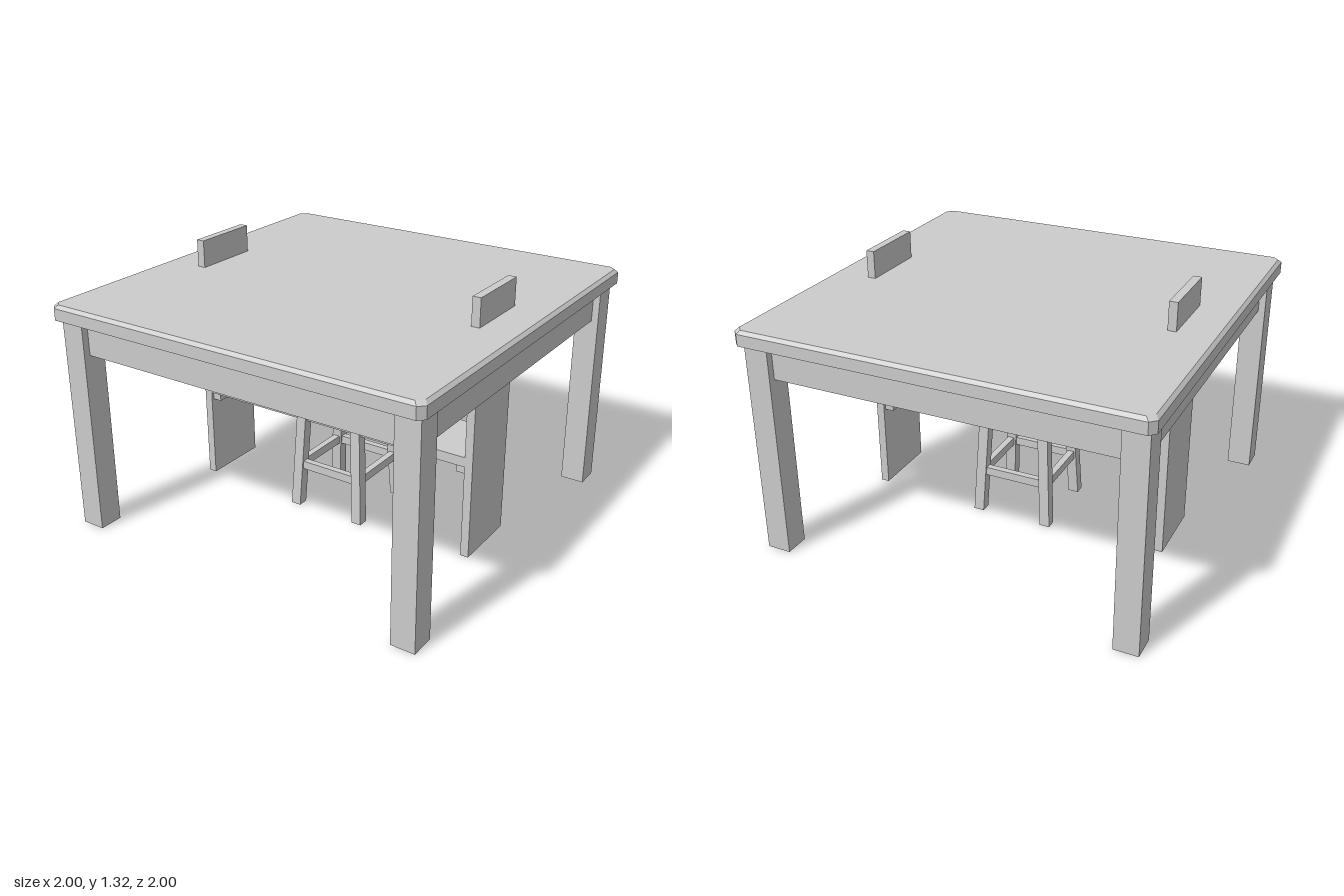
import * as THREE from 'three';

const material = new THREE.MeshStandardMaterial({ color: 0xcccccc, flatShading: true });

export function createModel() {
  const model = new THREE.Group();
  model.name = 'tableWithBenchAndStool';
  const table = new THREE.Group(), bench = new THREE.Group(), stool = new THREE.Group();
  table.name = 'table';
  bench.name = 'bench';
  stool.name = 'stool';
  model.add(table, bench, stool);

  const add = (parent, name, geometry, x = 0, y = 0, z = 0) => {
    const mesh = new THREE.Mesh(geometry, material);
    mesh.name = name;
    mesh.position.set(x, y, z);
    parent.add(mesh);
    return mesh;
  };

  // Box given by its size, its centre in x and z, and its bottom and top heights
  const box = (parent, name, w, d, y0, y1, x = 0, z = 0) =>
    add(parent, name, new THREE.BoxGeometry(w, y1 - y0, d), x, (y0 + y1) / 2, z);

  // Square slab with cut corners and a chamfered upper edge
  const slab = (parent, name, half, cut, bevel, y0, y1) => {
    const c = half - cut;
    const outline = new THREE.Shape([
      [half, -c], [half, c], [c, half], [-c, half],
      [-half, c], [-half, -c], [-c, -half], [c, -half],
    ].map(([x, y]) => new THREE.Vector2(x, y)));
    const extrude = (h) => new THREE.ExtrudeGeometry(outline, { depth: h, bevelEnabled: false, steps: 2 });
    const height = y1 - y0;
    const geometry = extrude(height).rotateX(-Math.PI / 2);
    const p = geometry.attributes.position;
    const s = 1 - bevel / half;
    for (let i = 0; i < p.count; i++) {
      const y = p.getY(i);
      if (y > height * 0.9) p.setXYZ(i, p.getX(i) * s, height, p.getZ(i) * s);
      else if (y > height * 0.1) p.setY(i, height - bevel);
    }
    geometry.computeVertexNormals();
    add(parent, name, geometry, 0, y0, 0);
  };

  // Table: top, corner legs and recessed aprons
  slab(table, 'tableTop', 1, 0.03, 0.016, 1.1, 1.175);
  for (const s of [-1, 1]) {
    for (const t of [-1, 1]) box(table, 'tableLeg', 0.122, 0.126, 0, 1.1, s * 0.909, t * 0.892);
    box(table, 'tableApron', 1.7, 0.05, 0.925, 1.1, 0, s * 0.895);
    box(table, 'tableSideApron', 0.05, 1.66, 0.925, 1.1, s * 0.91, 0);
  }

  // Bench: upright panels through the table top, a plank and its cleats
  box(bench, 'benchPlank', 1.526, 0.35, 0.477, 0.527);
  for (const s of [-1, 1]) {
    box(bench, 'benchPanel', 0.042, 0.35, 0, 1.315, s * 0.784, 0);
    box(bench, 'lowerCleat', 0.048, 0.32, 0.435, 0.477, s * 0.739, 0);
    box(bench, 'upperCleat', 0.048, 0.32, 1.058, 1.1, s * 0.739, 0);
  }

  // Stool: chamfered seat, splayed legs, upper rails and stretchers
  const seatBottom = 0.727;
  const splay = (y) => 0.187 - 0.037 * y / seatBottom;
  slab(stool, 'stoolSeat', 0.184, 0.008, 0.007, seatBottom, 0.772);
  for (const s of [-1, 1]) {
    for (const t of [-1, 1]) {
      const geometry = new THREE.BoxGeometry(0.053, seatBottom, 0.053).translate(0, seatBottom / 2, 0);
      const p = geometry.attributes.position;
      for (let i = 0; i < p.count; i++) {
        const k = splay(p.getY(i));
        p.setXYZ(i, p.getX(i) + s * k, p.getY(i), p.getZ(i) + t * k);
      }
      geometry.computeVertexNormals();
      add(stool, 'stoolLeg', geometry);
    }
    for (const [name, y0, y1] of [['stoolRail', 0.68, seatBottom], ['stoolStretcher', 0.207, 0.25]]) {
      const k = splay((y0 + y1) / 2), length = 2 * k - 0.05;
      box(stool, name, length, 0.034, y0, y1, 0, s * k);
      box(stool, name, 0.034, length, y0, y1, s * k, 0);
    }
  }
  return model;
}
